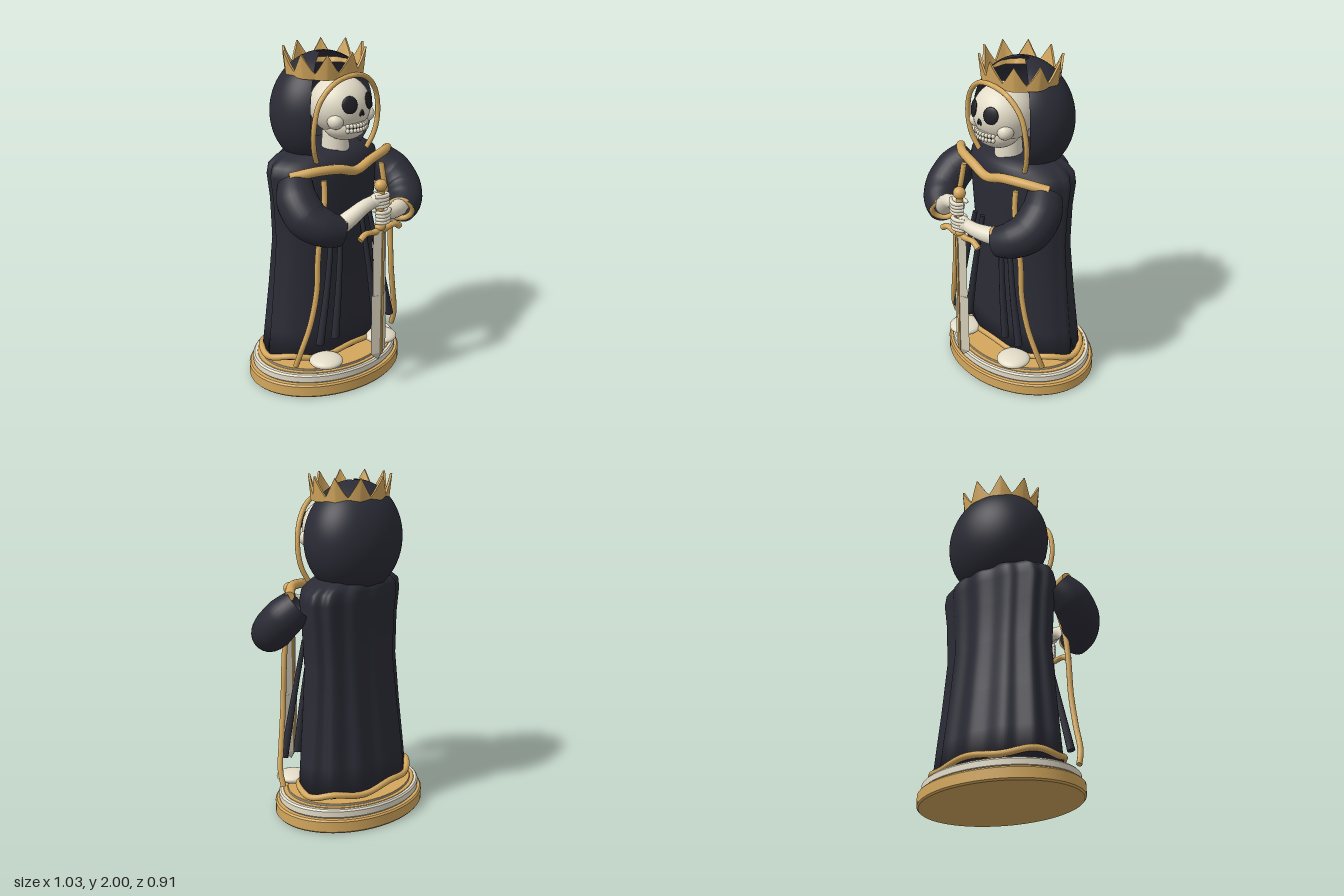
import * as THREE from 'three';
import { toCreasedNormals } from 'three/addons/utils/BufferGeometryUtils.js';

const mat = (name, color, side = THREE.FrontSide) => {
  const m = new THREE.MeshStandardMaterial({ color, side });
  m.name = name;
  return m;
};

export function createModel() {
  const root = new THREE.Group();
  root.name = 'robedSkeletonKing';
  const cloth = mat('charcoal cloth', 0x2b2b36, THREE.DoubleSide);
  const gold = mat('gold', 0xd3a75d);
  const bone = mat('bone', 0xe3dcc8);
  const black = mat('eye black', 0x1e1e25);
  const steel = mat('blade', 0xd6cfbb);

  const add = (name, geo, m, pos = [0, 0, 0], scale = [1, 1, 1], parent = root) => {
    const mesh = new THREE.Mesh(geo, m);
    mesh.name = name;
    mesh.position.set(...pos);
    mesh.scale.set(...scale);
    parent.add(mesh);
    return mesh;
  };
  const ball = (name, m, pos, radii, parent) =>
    add(name, new THREE.SphereGeometry(1, 32, 20), m, pos, radii, parent);

  // Tube through points with radii interpolated along it; flat ends when capped
  const tube = (name, m, pts, radii, { closed = false, cap = !closed, seg = 48, sides = 14, parent = root } = {}) => {
    const curve = new THREE.CatmullRomCurve3(pts.map(p => new THREE.Vector3(...p)), closed);
    const geo = new THREE.TubeGeometry(curve, seg, 1, sides, closed);
    const p = geo.attributes.position, v = new THREE.Vector3();
    for (let i = 0; i <= seg; i++) {
      const c = curve.getPointAt(i / seg);
      const t = cap ? THREE.MathUtils.clamp((i - 1) / (seg - 2), 0, 1) : i / seg;
      const d = curve.getPointAt(t);
      const f = t * (radii.length - 1), k = Math.min(Math.floor(f), radii.length - 2);
      let r = THREE.MathUtils.lerp(radii[k], radii[k + 1], f - k);
      if (cap && (i === 0 || i === seg)) r = 0;
      for (let j = 0; j <= sides; j++) {
        const n = i * (sides + 1) + j;
        v.fromBufferAttribute(p, n).sub(c).multiplyScalar(r).add(d);
        p.setXYZ(n, v.x, v.y, v.z);
      }
    }
    return add(name, toCreasedNormals(geo, 0.9), m, [0, 0, 0], [1, 1, 1], parent);
  };

  // Grid surface from rings, bottom to top; fn(row, angle) gives a point, angle 0 faces front
  const loft = (rows, cols, fn, crease) => {
    const pos = [], idx = [];
    for (let i = 0; i < rows; i++)
      for (let j = 0; j < cols; j++) pos.push(...fn(i, j / cols * Math.PI * 2));
    for (let i = 0; i < rows - 1; i++)
      for (let j = 0; j < cols; j++) {
        const a = i * cols + j, b = i * cols + (j + 1) % cols;
        idx.push(a, b, b + cols, a, b + cols, a + cols);
      }
    const g = new THREE.BufferGeometry();
    g.setAttribute('position', new THREE.Float32BufferAttribute(pos, 3));
    g.setIndex(idx);
    g.computeVertexNormals();
    return crease ? toCreasedNormals(g, crease) : g;
  };

  // Oval plinth in stacked steps
  const step = (name, m, r, y0, y1) => {
    const b = Math.min(0.01, (y1 - y0) * 0.2);
    const pts = [[0, y0], [r - b, y0], [r, y0 + b], [r, y1 - b], [r - b, y1], [0, y1]];
    const g = new THREE.LatheGeometry(pts.map(p => new THREE.Vector2(...p)), 72);
    add(name, toCreasedNormals(g, 0.5), m, [0, 0, -0.05], [1, 1, 0.785]);
  };
  step('plinthBase', gold, 0.513, 0, 0.08);
  step('plinthBand', bone, 0.487, 0.08, 0.134);
  step('plinthInlay', gold, 0.458, 0.13, 0.138);
  step('plinthTop', bone, 0.43, 0.137, 0.147);
  step('plinthFloor', gold, 0.428, 0.146, 0.151);

  // Robe: [height, half width, front z, back z], with pleats around the back
  const rings = [[0.18, 0, -0.08, -0.08], [0.18, 0.425, 0.17, -0.325], [0.35, 0.405, 0.17, -0.31],
    [0.6, 0.38, 0.165, -0.28], [0.9, 0.355, 0.16, -0.25], [1.15, 0.37, 0.175, -0.245],
    [1.3, 0.39, 0.18, -0.255], [1.36, 0.375, 0.17, -0.255], [1.395, 0.32, 0.145, -0.24],
    [1.43, 0.21, 0.11, -0.19], [1.44, 0, -0.05, -0.05]];
  add('robe', loft(rings.length, 160, (i, a) => {
    const [y, rx, zf, zb] = rings[i], c = Math.cos(a), s = Math.sin(a);
    const back = THREE.MathUtils.smoothstep(-c, -0.35, 0.3);
    const k = 1 + 0.038 * back * Math.cos(12 * a) * Math.min(1, rx * 4);
    const mid = -0.07, rz = c > 0 ? zf - mid : mid - zb;
    return [rx * s * k, y, mid + rz * c * k];
  }), cloth);

  // Wavy hem braid
  const hem = [];
  for (let i = 0; i < 48; i++) {
    const a = i / 48 * Math.PI * 2;
    hem.push([0.435 * Math.sin(a), 0.193 + 0.012 * Math.cos(6 * a), -0.085 + 0.255 * Math.cos(a)]);
  }
  tube('hemTrim', gold, hem, [0.019, 0.019], { closed: true, seg: 160, sides: 10 });

  // Collar braid across the chest
  tube('collarTrim', gold, [[-0.4, 1.34, 0.08], [-0.27, 1.365, 0.165], [-0.13, 1.355, 0.2], [0, 1.32, 0.205],
    [0.13, 1.355, 0.2], [0.27, 1.365, 0.165], [0.4, 1.34, 0.08]], [0.028, 0.028]);

  // Hood, open towards the face, with a small hole at the crown
  add('hood', new THREE.SphereGeometry(1, 64, 40, Math.PI / 2 + 0.87, Math.PI * 2 - 1.74, 0.09, 2.65),
    cloth, [0, 1.635, -0.075], [0.327, 0.335, 0.262]);
  tube('hoodTrim', gold, [[-0.2, 1.38, 0.09], [-0.245, 1.48, 0.115], [-0.258, 1.6, 0.13], [-0.225, 1.74, 0.14],
    [-0.13, 1.835, 0.155], [0, 1.865, 0.165], [0.13, 1.835, 0.155], [0.225, 1.74, 0.14], [0.258, 1.6, 0.13],
    [0.245, 1.48, 0.115], [0.2, 1.38, 0.09]], [0.015, 0.015], { seg: 80, sides: 10 });

  // Crown: flared thick band with ten broad points, rows run outside then inside
  add('crown', loft(5, 160, (i, a) => {
    const u = (a / (Math.PI * 2) * 10) % 1, d = Math.abs(u - 0.5) * 2;
    const peak = Math.pow(d, 1.2);
    const top = i === 1 || i === 2, inner = i === 2 || i === 3;
    const r = (top ? 0.236 + 0.026 * peak : 0.233 + 0.012 * peak) - (inner ? (top ? 0.014 : 0.03) : 0);
    const y = top ? 1.89 + 0.11 * peak : 1.862 - 0.012 * Math.max(0, Math.cos(a));
    return [r * Math.sin(a), y, -0.052 + r * 0.87 * Math.cos(a)];
  }, 0.8), gold);

  // Skull
  const skull = new THREE.Group();
  skull.name = 'skull';
  root.add(skull);
  ball('cranium', bone, [0, 1.685, 0.075], [0.178, 0.17, 0.175], skull);
  ball('jaw', bone, [0, 1.58, 0.115], [0.128, 0.092, 0.125], skull);
  add('neck', new THREE.CylinderGeometry(0.075, 0.085, 0.16, 24), bone, [0, 1.47, 0.04], [1, 1, 1], skull);
  for (const s of [-1, 1]) {
    ball('cheek', bone, [s * 0.125, 1.625, 0.165], [0.045, 0.045, 0.048], skull);
    const eye = ball('eyeSocket', black, [s * 0.075, 1.722, 0.228], [0.046, 0.05, 0.012], skull);
    eye.rotation.set(-0.2, s * 0.44, 0);
    const nostril = ball('nostril', black, [s * 0.007, 1.668, 0.249], [0.009, 0.02, 0.006], skull);
    nostril.rotation.z = s * 0.35;
  }
  ball('mouth', black, [0, 1.582, 0.2], [0.082, 0.024, 0.041], skull);
  for (let i = -4; i <= 4; i++)
    for (const y of [1.596, 1.569]) {
      const a = i * 0.178;
      ball('tooth', bone, [0.118 * Math.sin(a), y, 0.128 + 0.114 * Math.cos(a)], [0.0112, 0.0135, 0.012], skull);
    }

  for (const s of [-1, 1]) {
    // Robe edge braid and loose front folds
    tube('robeEdgeTrim', gold, [[0.235, 1.31, 0.185], [0.245, 1.2, 0.2], [0.285, 1.03, 0.207], [0.305, 0.85, 0.205],
      [0.315, 0.66, 0.205], [0.355, 0.45, 0.19], [0.405, 0.28, 0.16], [0.415, 0.19, 0.13]]
      .map(([x, y, z]) => [s * x, y, z]), [0.017, 0.017], { sides: 10 });
    for (const [x0, x1, x2] of [[0.085, 0.13, 0.175], [0.155, 0.225, 0.3]])
      tube('robeFold', cloth, [[s * x0, 1.02, 0.17], [s * x1, 0.66, 0.2], [s * x2, 0.32, 0.215]],
        [0.014, 0.018, 0.024], { seg: 16, sides: 8 });

    // Foot
    ball('foot', bone, [s * 0.235, 0.187, 0.2], [0.1, 0.036, 0.1]);

    // Sleeve with braided cuff, its mouth tipped down and inward
    tube('sleeve', cloth, [[s * 0.34, 1.285, 0.06], [s * 0.388, 1.21, 0.13], [s * 0.385, 1.125, 0.215],
      [s * 0.325, 1.075, 0.29], [s * 0.245, 1.045, 0.335]],
    [0.1, 0.118, 0.12, 0.108, 0.085], { cap: false, sides: 28 });
    const cuff = add('cuffTrim', new THREE.TorusGeometry(0.07, 0.017, 10, 36), gold, [s * 0.25, 1.05, 0.33]);
    cuff.lookAt(s * (0.25 - 0.65), 1.05 - 0.33, 0.33 + 0.55);

    // Forearm and hand wrapped round the grip
    const y = s < 0 ? 1.195 : 1.095;
    tube('forearm', bone, s < 0
      ? [[-0.27, 1.06, 0.31], [-0.2, 1.12, 0.355], [-0.12, 1.175, 0.385], [-0.04, 1.195, 0.395]]
      : [[0.27, 1.07, 0.31], [0.2, 1.078, 0.355], [0.12, 1.085, 0.385], [0.04, 1.095, 0.395]],
    [0.055, 0.05, 0.042, 0.036], { seg: 24 });
    ball('palm', bone, [s * 0.03, y, 0.4], [0.058, 0.045, 0.04]);
    for (let i = 0; i < 4; i++) {
      const fy = y + 0.03 - i * 0.02;
      tube('finger', bone, [[s * 0.06, fy, 0.415], [s * 0.025, fy, 0.438], [-s * 0.02, fy, 0.438], [-s * 0.04, fy, 0.405]],
        [0.012, 0.0125, 0.011], { seg: 14, sides: 8 });
    }
    ball('thumb', bone, [-s * 0.005, y + 0.03, 0.372], [0.036, 0.014, 0.014]);
  }

  // Sword standing point down
  const sword = new THREE.Group();
  sword.name = 'sword';
  sword.position.z = 0.4;
  root.add(sword);
  ball('pommel', gold, [0, 1.278, 0], [0.038, 0.036, 0.036], sword);
  add('grip', new THREE.CylinderGeometry(0.021, 0.021, 0.25, 16), gold, [0, 1.125, 0], [1, 1, 1], sword);
  ball('guardCollar', gold, [0, 1.03, 0], [0.034, 0.026, 0.03], sword);
  tube('crossGuard', gold, [[-0.165, 0.99, 0], [-0.12, 1.015, 0], [-0.05, 1.008, 0], [0, 1.012, 0], [0.05, 1.008, 0],
    [0.12, 1.015, 0], [0.165, 0.99, 0]], [0.019, 0.016, 0.02, 0.016, 0.019], { parent: sword });

  // Diamond-section blade: [height, half width, half depth]
  const blade = [[0.18, 0, 0], [0.235, 0.062, 0.027], [0.61, 0.062, 0.027], [0.61, 0.053, 0.027], [1.005, 0.053, 0.027]];
  add('blade', loft(blade.length, 4, (i, a) =>
    [blade[i][1] * Math.sin(a), blade[i][0], blade[i][2] * Math.cos(a)], 0.2), steel, [0, 0, 0], [1, 1, 1], sword);
  for (const s of [-1, 1])
    add('bladeRidge', new THREE.BoxGeometry(0.016, 0.77, 0.009), gold, [0, 0.615, s * 0.025], [1, 1, 1], sword);

  return root;
}
